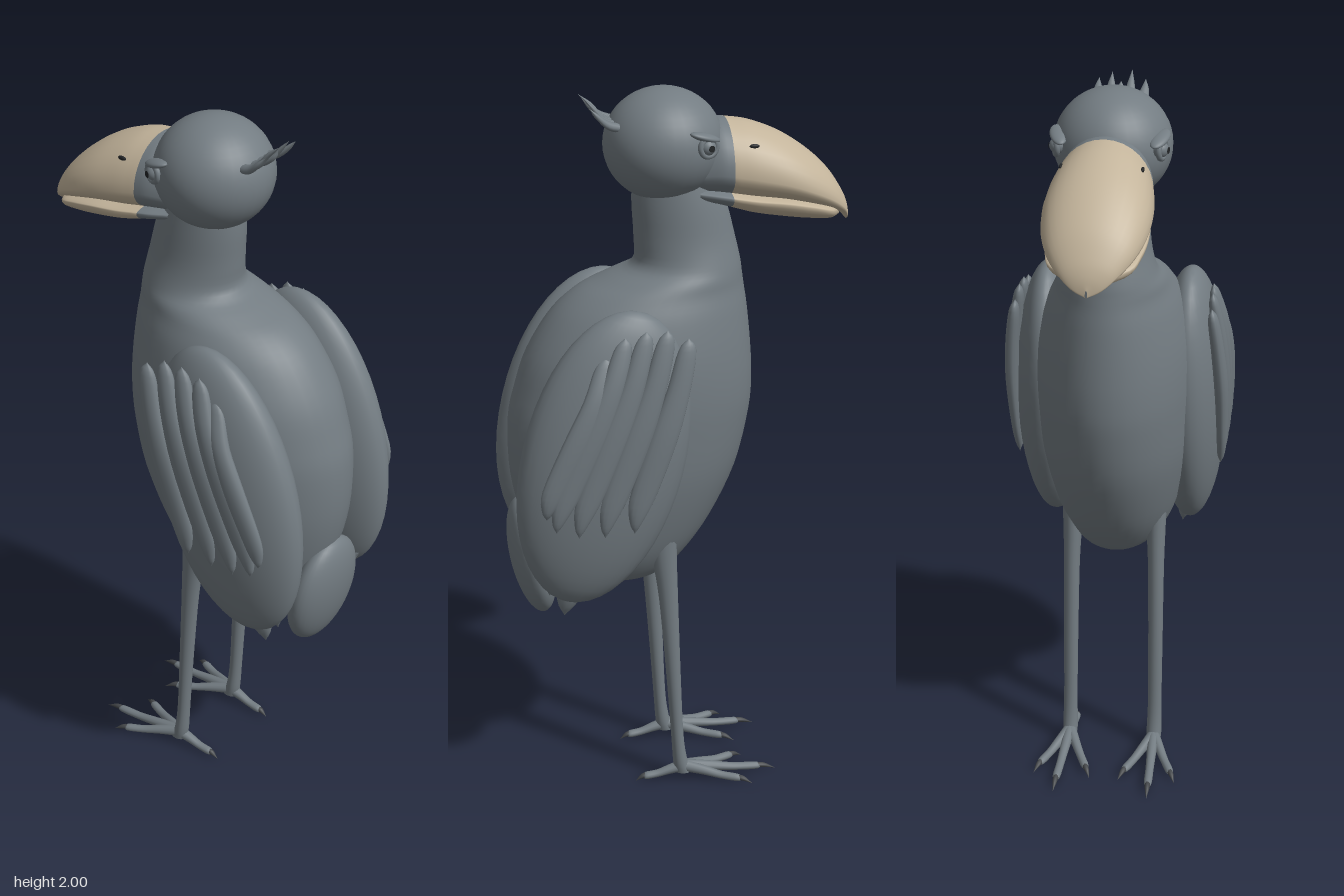
import * as THREE from 'three';

const mat = (name, color) => Object.assign(new THREE.MeshStandardMaterial({ color }), { name });
const plumage = mat('slate plumage', 0x737c82);
const horn = mat('tan beak', 0xc3b49b);
const clawDark = mat('dark claw', 0x45484b);
const pupilDark = mat('dark pupil', 0x222426);
const X = new THREE.Vector3(1, 0, 0), Y = new THREE.Vector3(0, 1, 0), Z = new THREE.Vector3(0, 0, 1);

// Smooth skin over elliptical rings; row = [x, y, z, radiusU, radiusV, radiusV on the negative side]
function loft(rows, u, v, sides = 16, sub = 4) {
  const path = new THREE.CatmullRomCurve3(rows.map(r => new THREE.Vector3(r[0], r[1], r[2])), false, 'catmullrom');
  const size = new THREE.CatmullRomCurve3(rows.map(r => new THREE.Vector3(r[3], r[4], r[5] ?? r[4])), false, 'catmullrom');
  const n = (rows.length - 1) * sub, pos = [], idx = [];
  const along = path.getPoint(1).sub(path.getPoint(0));
  const flip = new THREE.Vector3().crossVectors(u, v).dot(along) < 0;
  for (let i = 0; i <= n; i++) {
    const c = path.getPoint(i / n), s = size.getPoint(i / n);
    for (let j = 0; j < sides; j++) {
      const a = j / sides * Math.PI * 2, sn = Math.sin(a);
      const p = c.clone().addScaledVector(u, Math.cos(a) * Math.max(s.x, 0.0005))
        .addScaledVector(v, sn * Math.max(sn > 0 ? s.y : s.z, 0.0005));
      pos.push(p.x, p.y, p.z);
      if (i === n) continue;
      const k = (j + 1) % sides, A = i * sides + j, B = i * sides + k, C = A + sides, D = B + sides;
      if (flip) idx.push(A, C, B, B, C, D);
      else idx.push(A, B, C, B, D, C);
    }
  }
  const g = new THREE.BufferGeometry();
  g.setAttribute('position', new THREE.Float32BufferAttribute(pos, 3));
  g.setIndex(idx);
  g.computeVertexNormals();
  return g;
}

export function createModel() {
  const bird = new THREE.Group();
  bird.name = 'bird';
  const add = (name, geo, material = plumage) => {
    const m = new THREE.Mesh(geo, material);
    m.name = name;
    bird.add(m);
    return m;
  };
  const ellipsoid = (name, p, r, rot = [0, 0, 0], material = plumage) => {
    const m = add(name, new THREE.SphereGeometry(1, 32, 24), material);
    m.position.set(...p);
    m.scale.set(...r);
    m.rotation.set(...rot);
    return m;
  };

  // Body and neck: [height, front z, back z, half width]
  const body = [
    [0.61, 0.15, 0.17, 0.005], [0.635, 0.04, 0.28, 0.09], [0.70, -0.03, 0.37, 0.145],
    [0.80, -0.10, 0.425, 0.18], [0.95, -0.17, 0.46, 0.21], [1.10, -0.205, 0.462, 0.22],
    [1.20, -0.212, 0.44, 0.22], [1.30, -0.207, 0.405, 0.21], [1.40, -0.197, 0.34, 0.185],
    [1.46, -0.188, 0.27, 0.16], [1.495, -0.183, 0.19, 0.145], [1.53, -0.178, 0.115, 0.125],
    [1.60, -0.162, 0.11, 0.108], [1.70, -0.135, 0.115, 0.10], [1.80, -0.09, 0.11, 0.09],
  ];
  add('body', loft(body.map(([y, f, b, w]) => [0, y, (f + b) / 2, w, (b - f) / 2]), X, Z, 40));
  ellipsoid('tail', [0, 0.70, 0.408], [0.13, 0.172, 0.06], [0.17, 0, 0]);
  ellipsoid('head', [0, 1.85, 0.03], [0.157, 0.15, 0.16]);

  // Beak: [z, top, mouth line, underside, half width]
  const beak = [
    [-0.05, 1.89, 1.72, 1.70, 0.10], [-0.10, 1.912, 1.715, 1.69, 0.12], [-0.135, 1.912, 1.71, 1.68, 0.126],
    [-0.20, 1.90, 1.70, 1.66, 0.136], [-0.28, 1.868, 1.69, 1.645, 0.14], [-0.35, 1.823, 1.675, 1.635, 0.131],
    [-0.41, 1.768, 1.658, 1.63, 0.108], [-0.45, 1.71, 1.64, 1.63, 0.073], [-0.468, 1.67, 1.622, 1.63, 0.04],
    [-0.475, 1.635, 1.615, 1.62, 0.003],
  ];
  const upper = beak.map(([z, t, m, , w]) => {
    const c = m + (t - m) * 0.35;
    return [0, c, z, w, t - c, c - m];
  });
  const lower = beak.slice(0, 8).map(([z, , m, b, w]) => [0, m + 0.008, z, w * 0.93, 0.015, m + 0.008 - b]);
  lower[7][3] = 0.02;
  for (const [part, rows] of [['upper', upper], ['lower', lower]]) {
    add(part + 'BeakRoot', loft(rows.slice(0, 3), X, Y, 32));
    add(part + 'Beak', loft(rows.slice(2), X, Y, 32), horn);
  }

  // Crest of pointed feathers
  [[-0.06, 0.235, 1.965], [-0.022, 0.25, 1.985], [0.005, 0.225, 1.96], [0.03, 0.24, 1.98], [0.065, 0.235, 1.965]]
    .forEach(([x, z, y]) => add('crestFeather', loft([
      [x * 0.75, 1.905, 0.14, 0.014, 0.012], [x * 0.9, 1.918, 0.185, 0.017, 0.012],
      [x, (1.92 + y) / 2, 0.215, 0.011, 0.009], [x, y, z, 0, 0],
    ], X, Y, 10)));

  for (const s of [1, -1]) {
    const side = s > 0 ? 'left' : 'right';

    // Eye with lid ring, pupil and brow
    ellipsoid(side + 'Eye', [s * 0.133, 1.867, -0.058], [0.022, 0.022, 0.022]);
    const turn = s * (Math.PI / 2 + 0.3);
    const lid = add(side + 'Eyelid', new THREE.TorusGeometry(0.023, 0.008, 10, 24));
    lid.position.set(s * 0.138, 1.867, -0.06);
    lid.rotation.y = turn;
    const pupil = add(side + 'Pupil', new THREE.CircleGeometry(0.009, 20), pupilDark);
    pupil.position.set(s * 0.1552, 1.867, -0.065);
    pupil.rotation.y = turn;
    ellipsoid(side + 'Brow', [s * 0.132, 1.893, -0.052], [0.022, 0.011, 0.045], [-0.3, s * 0.3, 0]);
    const nostril = add(side + 'Nostril', new THREE.SphereGeometry(0.009, 12, 8), pupilDark);
    nostril.position.set(s * 0.104, 1.855, -0.19);
    nostril.scale.set(0.5, 0.7, 1.5);

    // Wing with overlapping long feathers
    ellipsoid(side + 'Wing', [s * 0.198, 1.05, 0.235], [0.1, 0.42, 0.222], [-0.24, 0, 0]);
    [[0.02, 1.40, 0.17, 0.87], [0.075, 1.425, 0.25, 0.865], [0.13, 1.425, 0.32, 0.87],
      [0.185, 1.41, 0.38, 0.89], [0.235, 1.36, 0.405, 0.93]].forEach(([z0, y0, z1, y1], i) => {
      const at = (t, bow) => [y0 + (y1 - y0) * t, z0 + (z1 - z0) * t + bow];
      const row = (t, x, bow, w, d) => [s * x, ...at(t, bow), w, d];
      add(side + 'WingFeather', loft([
        row(0, 0.268 - i * 0.003, 0, 0, 0), row(0.06, 0.272 - i * 0.003, -0.004, 0.024, 0.014),
        row(0.25, 0.284, -0.008, 0.032, 0.018), row(0.5, 0.293, -0.002, 0.04, 0.019),
        row(0.8, 0.293, 0.008, 0.036, 0.016), row(0.94, 0.291, 0.006, 0.017, 0.011), row(1, 0.29, 0, 0, 0),
      ], Z, X, 14));
    });
    // Wing tip feathers
    [[0.30, 0.345, 0.585], [0.35, 0.385, 0.65]].forEach(([z0, z1, y1]) => add(side + 'WingTip', loft([
      [s * 0.2, 0.88, z0, 0.02, 0.02], [s * 0.19, 0.74, z0 + 0.02, 0.045, 0.028],
      [s * 0.175, y1 + 0.05, z1 - 0.01, 0.03, 0.02], [s * 0.168, y1, z1, 0, 0],
    ], Z, X, 14)));

    // Leg
    add(side + 'Leg', loft([
      [s * 0.12, 0.80, 0.06, 0.03, 0.04], [s * 0.12, 0.70, 0.053, 0.027, 0.034],
      [s * 0.122, 0.58, 0.043, 0.023, 0.027], [s * 0.124, 0.35, 0.03, 0.021, 0.021],
      [s * 0.125, 0.15, 0.019, 0.02, 0.018], [s * 0.125, 0.06, 0.01, 0.022, 0.021],
      [s * 0.125, 0.025, 0.0, 0.02, 0.025],
    ], X, Z, 16));

    // Toes: three forward, one behind, each ending in a claw
    [[0.205, -0.185], [0.135, -0.27], [0.042, -0.19], [0.12, 0.14]].forEach(([x, z]) => {
      const dir = new THREE.Vector3(s * (x - 0.125), 0, z).normalize();
      const across = new THREE.Vector3().crossVectors(Y, dir);
      const row = (t, y, w, h) => [s * (0.125 + (x - 0.125) * t), y, z * t, w, h];
      add(side + 'Toe', loft([
        row(0, 0.042, 0.018, 0.018), row(0.3, 0.032, 0.014, 0.014),
        row(0.55, 0.022, 0.012, 0.011), row(0.8, 0.018, 0.011, 0.01), row(0.84, 0.017, 0, 0),
      ], across, Y, 12));
      add(side + 'Claw', loft([
        row(0.76, 0.02, 0.008, 0.008), row(0.88, 0.017, 0.007, 0.007), row(1, 0.004, 0, 0),
      ], across, Y, 10), clawDark);
    });
  }
  return bird;
}
